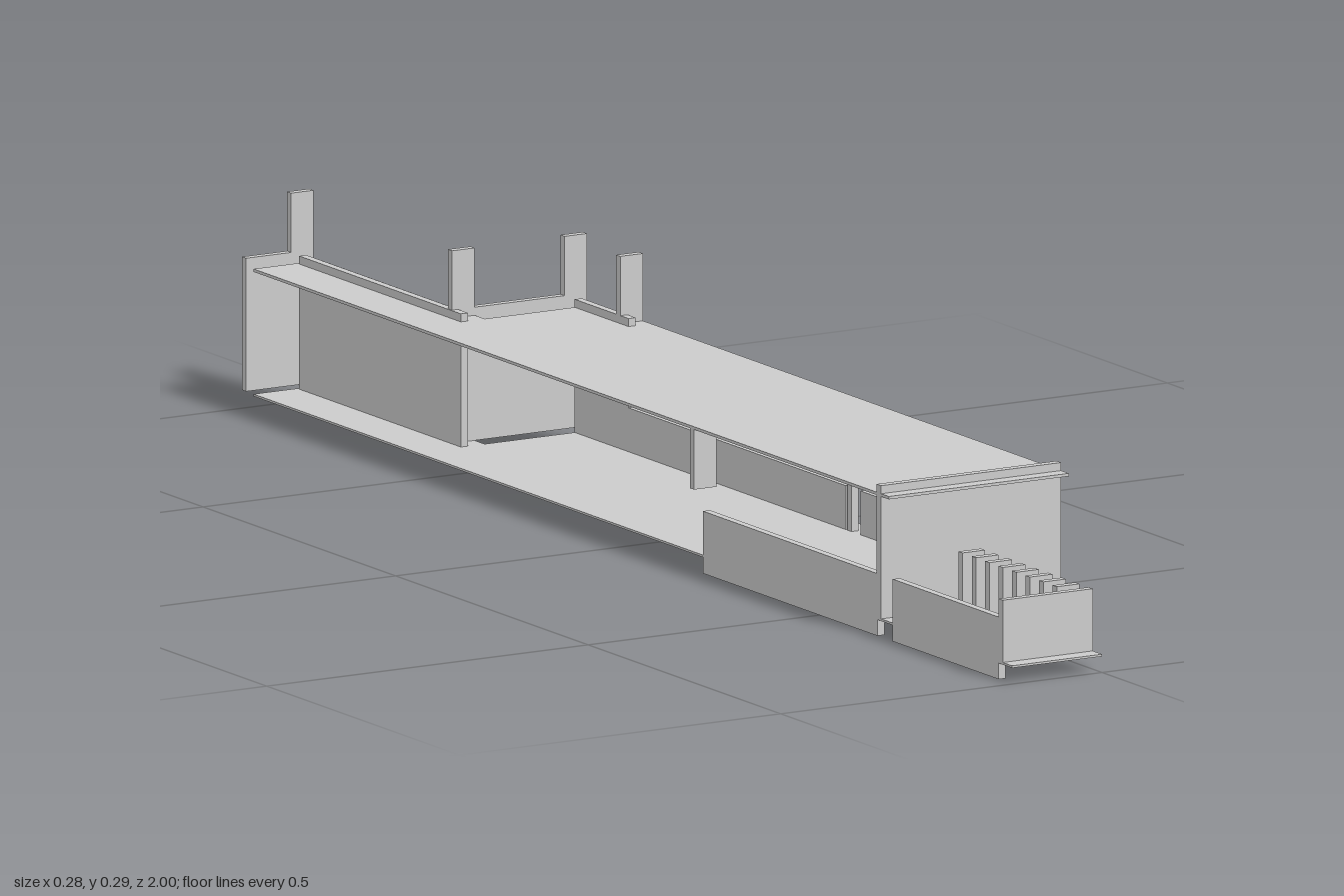
import * as THREE from 'three';

export function createModel() {
  const model = new THREE.Group();
  const material = new THREE.MeshStandardMaterial({ color: 0xcccccc, flatShading: true });

  // Axis-aligned slab given by its limits on each axis
  const slab = (name, [x0, x1], [y0, y1], [z0, z1]) => {
    const mesh = new THREE.Mesh(new THREE.BoxGeometry(x1 - x0, y1 - y0, z1 - z0), material);
    mesh.position.set((x0 + x1) / 2, (y0 + y1) / 2, (z0 + z1) / 2);
    mesh.name = name;
    model.add(mesh);
  };

  // Horizontal plate cut from an outline of [x, z] corners
  const plate = (name, outline, y0, y1) => {
    const shape = new THREE.Shape(outline.map(([x, z]) => new THREE.Vector2(x, -z)));
    const geometry = new THREE.ExtrudeGeometry(shape, { depth: y1 - y0, bevelEnabled: false });
    geometry.rotateX(-Math.PI / 2).translate(0, y0, 0);
    const mesh = new THREE.Mesh(geometry, material);
    mesh.name = name;
    model.add(mesh);
  };

  const T = 0.011; // wall thickness
  const FLOOR = 0.025, CEILING = 0.192, CURB = 0.207, POST = 0.288;

  // Floor with a narrow front balcony and a narrow rear arm
  plate('floor', [[-0.14, 1], [0, 1], [0, 0.68], [0.14, 0.68], [0.14, -0.545],
    [-0.035, -0.545], [-0.035, -0.97], [-0.14, -0.97]], 0.022, FLOOR);
  plate('roof', [[-0.14, 0.68], [0.14, 0.68], [0.14, -0.545],
    [-0.035, -0.545], [-0.035, -0.97], [-0.14, -0.97]], CEILING, 0.196);

  // Full-height walls, whose tops stand above the roof as curbs
  slab('frontWall', [-0.14, 0.14], [FLOOR, CURB], [0.648, 0.66]);
  slab('middleWall', [-0.07, 0.14], [FLOOR, CURB], [-0.582, -0.571]);
  slab('rearWall', [-0.14, -0.035], [FLOOR, CURB], [-1, -0.989]);
  slab('rearArmWall', [-0.072, -0.061], [FLOOR, CURB], [-0.965, -0.545]);
  slab('leftRearWall', [0.105, 0.116], [FLOOR, CURB], [-0.545, -0.405]);

  // Posts above the roof
  const posts = [[0.105, -0.582], [-0.07, -0.582], [-0.07, -1], [0.105, -0.437]];
  for (const [x, z] of posts) slab('roofPost', [x, x + 0.035], [0.196, POST], [z, z + T]);

  // Low parapets that reach below the floor
  slab('leftFrontParapet', [0.105, 0.116], [0, 0.085], [0.197, 0.65]);
  slab('leftRearParapet', [0.105, 0.116], [0, 0.085], [-0.405, 0.16]);
  slab('rightParapet', [-0.14, -0.129], [0, 0.085], [0.197, 0.65]);
  slab('balconyParapet', [-0.14, -0.129], [0, 0.085], [0.69, 0.965]);

  // Short posts hung from the roof, with a stub below the left one
  for (const x of [0.105, -0.14]) slab('hangingPost', [x, x + 0.035], [0.11, CEILING], [0.163, 0.174]);
  slab('postStub', [0.105, 0.116], [FLOOR, 0.11], [0.163, 0.174]);
  slab('ledge', [0.116, 0.14], [FLOOR, 0.045], [0.197, 0.335]);

  // Balcony end wall and row of upright fins
  slab('balconyEndWall', [-0.14, 0], [FLOOR, 0.11], [0.965, 0.976]);
  for (let i = 0; i < 8; i++) {
    const z = 0.685 + i * 0.035;
    slab('balconyFin', [-0.035, 0], [FLOOR, 0.11], [z, z + T]);
  }
  return model;
}
